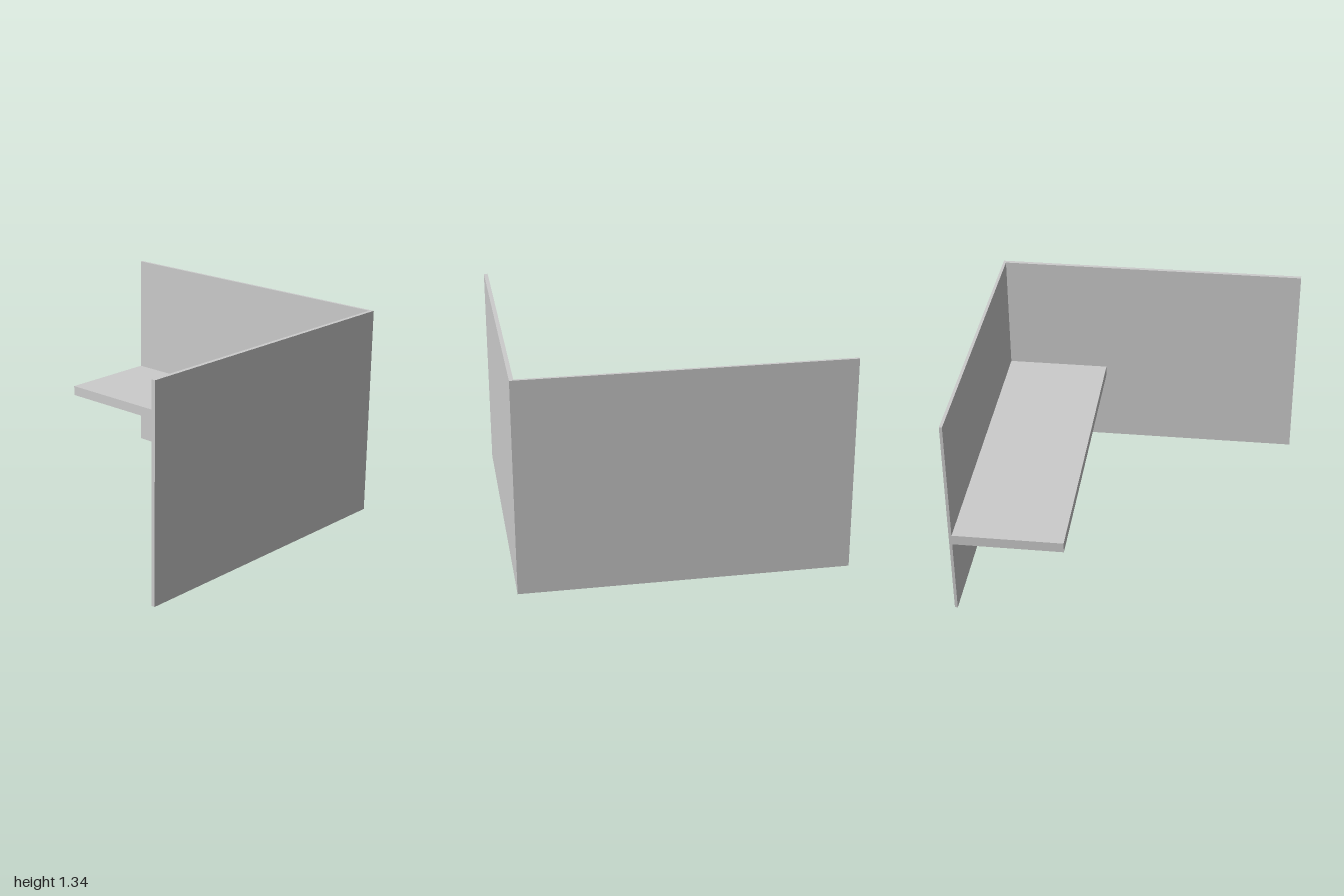
import * as THREE from 'three';

export function createModel() {
  const model = new THREE.Group();
  const material = new THREE.MeshStandardMaterial({ color: 0xcccccc, flatShading: true });

  const X = 0.995, Z = 1, height = 1.335;
  const innerX = 0.977, innerZ = 0.975; // inner faces of the two walls

  // Two thin walls meeting in a corner: L-shaped plan (x, -z) extruded upward
  const plan = new THREE.Shape([
    [-X, -Z], [X, -Z], [X, Z], [innerX, Z], [innerX, -innerZ], [-X, -innerZ],
  ].map(([x, y]) => new THREE.Vector2(x, y)));
  const wallGeometry = new THREE.ExtrudeGeometry(plan, { depth: height, bevelEnabled: false });
  wallGeometry.rotateX(-Math.PI / 2);
  const walls = new THREE.Mesh(wallGeometry, material);
  walls.name = 'cornerWalls';
  model.add(walls);

  // Bench slab along the side wall, running up to the front wall
  const benchLeft = 0.306, benchTop = 0.56, benchThickness = 0.065;
  const bench = new THREE.Mesh(
    new THREE.BoxGeometry(innerX - benchLeft, benchThickness, innerZ + Z), material);
  bench.position.set((innerX + benchLeft) / 2, benchTop - benchThickness / 2, (innerZ - Z) / 2);
  bench.name = 'benchSlab';
  model.add(bench);

  return model;
}
